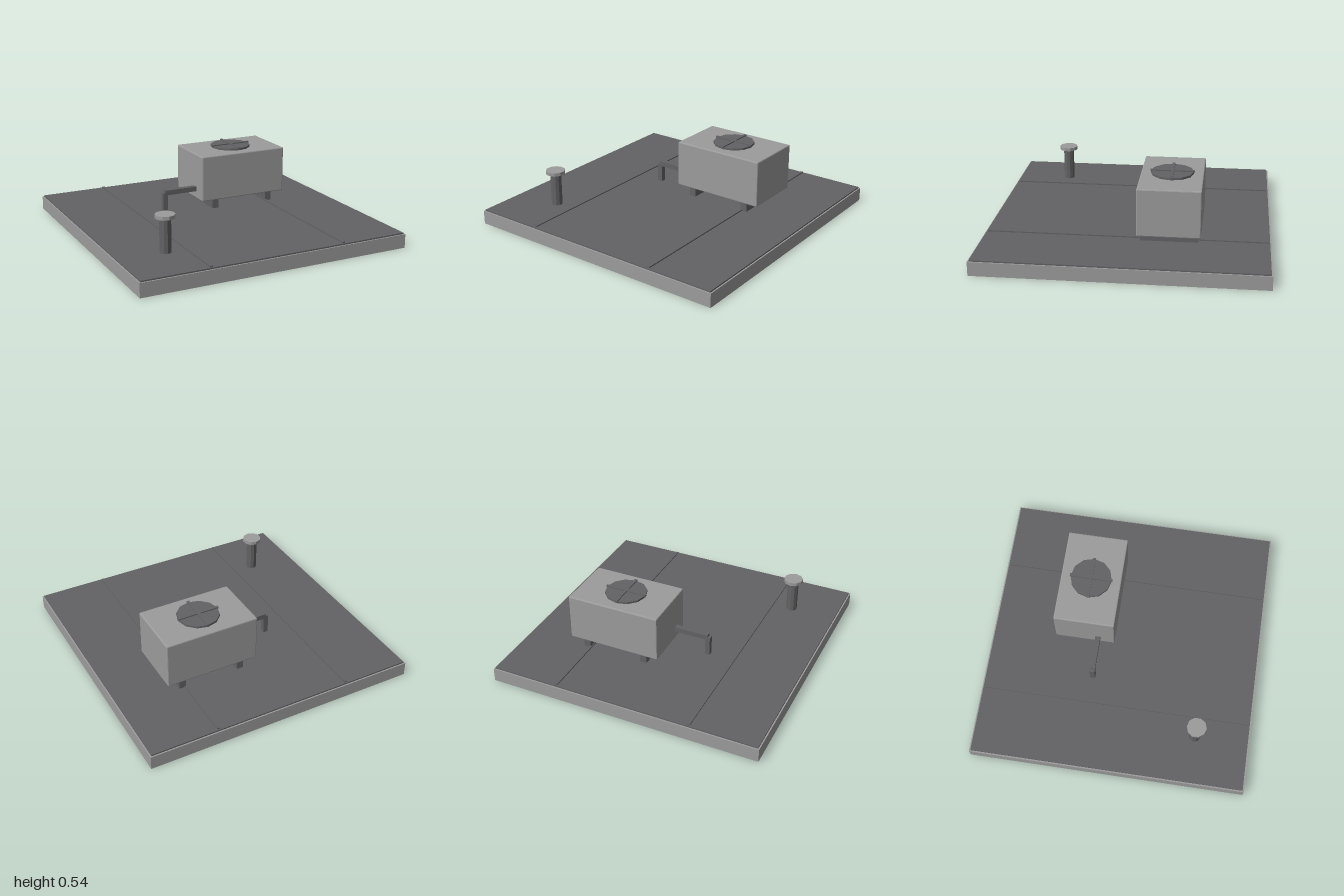
import * as THREE from 'three';
import { RoundedBoxGeometry } from 'three/addons/geometries/RoundedBoxGeometry.js';

export function createModel() {
  const model = new THREE.Group();
  model.name = 'rooftop';

  const light = new THREE.MeshStandardMaterial({ color: 0x9c9c9c });
  light.name = 'light grey';
  const dark = new THREE.MeshStandardMaterial({ color: 0x636365 });
  dark.name = 'dark grey';
  light.flatShading = dark.flatShading = true;

  const add = (name, geometry, material, x, y, z) => {
    const mesh = new THREE.Mesh(geometry, material);
    mesh.name = name;
    mesh.position.set(x, y, z);
    model.add(mesh);
    return mesh;
  };
  const box = (name, material, [w, h, d], [x, y, z]) =>
    add(name, new THREE.BoxGeometry(w, h, d), material, x, y, z);
  const cylinder = (name, material, r, h, sides, [x, y, z]) =>
    add(name, new THREE.CylinderGeometry(r, r, h, sides), material, x, y, z);

  // Roof slab, covering and raised seams
  box('slab', light, [2, 0.1, 2], [0, 0.05, 0]);
  box('roofCovering', dark, [1.98, 0.01, 1.98], [0, 0.105, 0]);
  for (const x of [-0.5, 0.5]) box('roofSeam', dark, [0.02, 0.01, 1.96], [x, 0.114, 0]);

  // Air handling unit on two skids
  add('unitBody', new RoundedBoxGeometry(0.69, 0.342, 0.44, 1, 0.008), light, 0.297, 0.35, -0.3);
  for (const x of [0.072, 0.522]) box('skid', dark, [0.05, 0.075, 0.4], [x, 0.1465, -0.3]);

  // Fan with crossed guard bars
  cylinder('fan', dark, 0.15, 0.016, 12, [0.297, 0.528, -0.3]);
  box('fanBar', dark, [0.31, 0.012, 0.02], [0.297, 0.538, -0.3]);
  box('fanBar', dark, [0.02, 0.012, 0.31], [0.297, 0.538, -0.3]);

  // Elbowed pipe from the unit down to the roof
  box('pipeRun', dark, [0.27, 0.037, 0.037], [-0.165, 0.253, -0.203]);
  box('pipeDrop', dark, [0.037, 0.145, 0.037], [-0.301, 0.1805, -0.203]);

  // Capped vent
  cylinder('ventPipe', dark, 0.04, 0.245, 10, [-0.65, 0.2275, 0.6]);
  cylinder('ventCap', light, 0.07, 0.025, 10, [-0.65, 0.3625, 0.6]);

  return model;
}
